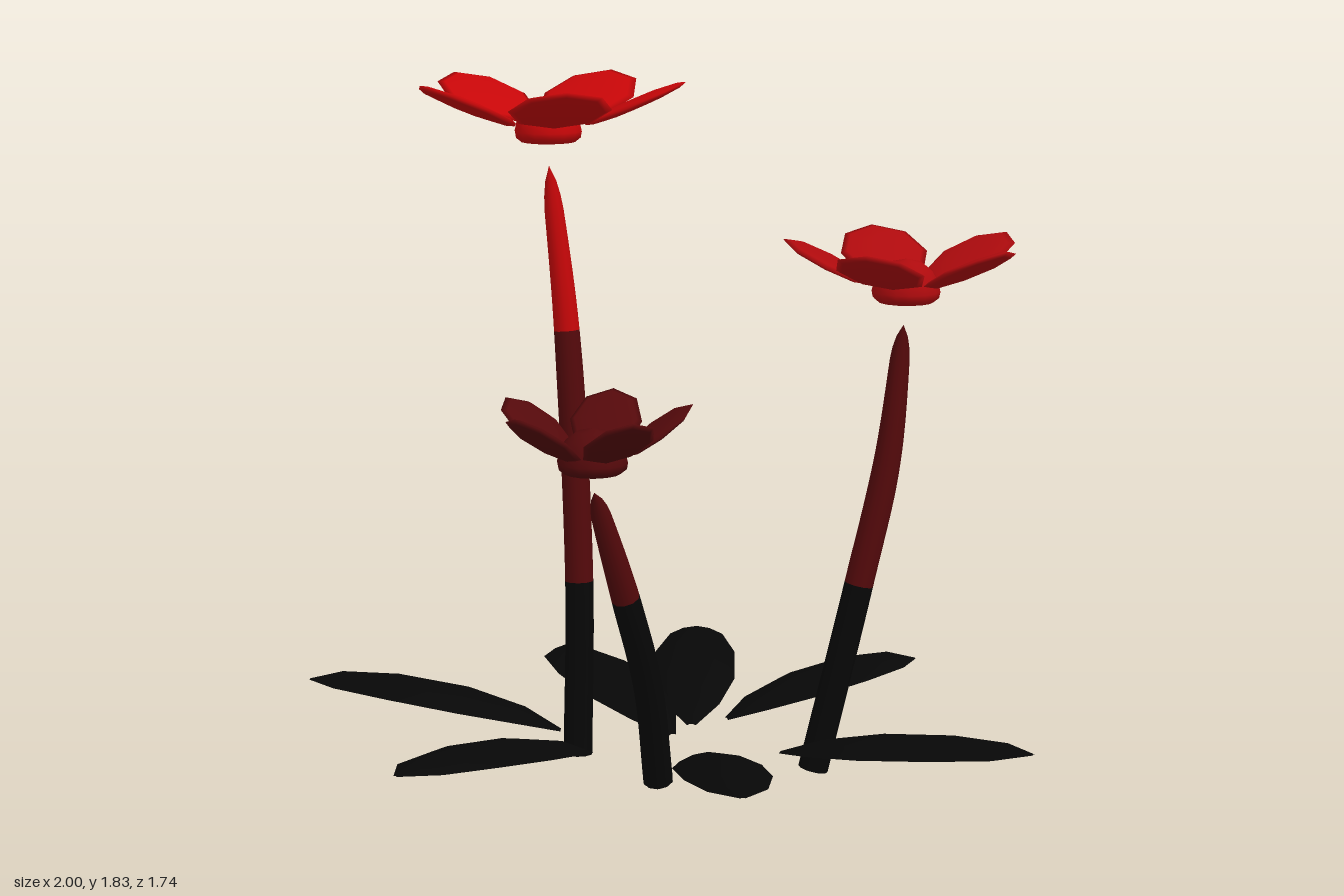
import * as THREE from 'three';

const mat = (name, color, side = THREE.FrontSide) => {
  const m = new THREE.MeshStandardMaterial({ color, side });
  m.name = name;
  return m;
};

// Tapered stem along a smooth path; bands = [end fraction, material] from the base up
function makeStem(name, points, bands, baseMaterial) {
  const rows = 40, sides = 10, radius = 0.04;
  const curve = new THREE.CatmullRomCurve3(points.map(p => new THREE.Vector3(...p)));
  const geo = new THREE.TubeGeometry(curve, rows, radius, sides, false);
  const pos = geo.attributes.position, v = new THREE.Vector3();
  for (let i = 0; i < pos.count; i++) {
    const u = Math.floor(i / (sides + 1)) / rows;
    const centre = curve.getPointAt(u);
    // Slow narrowing, then a rounded tip
    const narrow = u < 0.6 ? 1 - 0.1 * u : 0.94 - 0.4 * Math.pow((u - 0.6) / 0.4, 1.5);
    const taper = narrow * Math.sqrt(Math.min(1, (1 - u) / 0.06));
    v.fromBufferAttribute(pos, i).sub(centre).multiplyScalar(taper).add(centre);
    pos.setXYZ(i, v.x, v.y, v.z);
  }
  // Colour bands follow whole rows of the tube
  let start = 0;
  bands.forEach(([end], k) => {
    const stop = Math.round(end * rows);
    geo.addGroup(start * sides * 6, (stop - start) * sides * 6, k);
    start = stop;
  });
  const group = new THREE.Group();
  group.name = name;
  const tube = new THREE.Mesh(geo, bands.map(b => b[1]));
  tube.name = name + 'Tube';
  const cap = new THREE.Mesh(new THREE.CircleGeometry(radius, sides), baseMaterial);
  cap.name = name + 'Base';
  cap.position.copy(curve.getPointAt(0));
  cap.lookAt(cap.position.clone().sub(curve.getTangentAt(0)));
  group.add(tube, cap);
  return group;
}

// Five tilted oval petals around a domed centre
function makeFlower(name, position, start, distance, size, tilt, material) {
  const flower = new THREE.Group();
  flower.name = name;
  flower.position.set(...position);
  const profile = [[0, 0], [0.072, 0], [0.087, 0.012], [0.09, 0.028], [0.084, 0.055], [0.068, 0.083], [0.04, 0.105], [0, 0.114]];
  const centre = new THREE.Mesh(
    new THREE.LatheGeometry(profile.map(p => new THREE.Vector2(...p)), 14), material);
  centre.name = 'flowerCentre';
  flower.add(centre);
  const petalGeo = new THREE.SphereGeometry(1, 8, 6);
  for (let k = 0; k < 5; k++) {
    const pivot = new THREE.Group();
    pivot.name = 'petalPivot';
    pivot.rotation.y = -THREE.MathUtils.degToRad(start + 72 * k);
    const petal = new THREE.Mesh(petalGeo, material);
    petal.name = 'petal';
    petal.scale.set(size / Math.cos(tilt) * 1.03, 0.014, size * 1.04);
    petal.position.set(distance, 0.103, 0);
    petal.rotation.z = tilt;
    pivot.add(petal);
    flower.add(pivot);
  }
  return flower;
}

// Arched leaf running from base [x, z] to tip [x, z]
function makeLeaf(base, tip, baseY, peakY, tipY, material) {
  // Sections: fraction of length, half width, rise towards the peak
  const sections = [[0, 0.012, 0], [0.15, 0.075, 0.4], [0.38, 0.115, 0.75],
    [0.66, 0.112, 0.97], [0.88, 0.075, 1], [1, 0.006, (tipY - baseY) / (peakY - baseY)]];
  const dx = tip[0] - base[0], dz = tip[1] - base[1], len = Math.hypot(dx, dz);
  const verts = [], index = [], across = 4;
  sections.forEach(([t, w, rise], r) => {
    const y = baseY + (peakY - baseY) * rise;
    for (let c = 0; c <= across; c++) {
      const s = c / across * 2 - 1;
      verts.push(base[0] + dx * t - dz / len * w * s, y - 0.035 * s * s * w / 0.115, base[1] + dz * t + dx / len * w * s);
      if (r && c) {
        const d = r * (across + 1) + c, b = d - across - 1;
        index.push(b - 1, d - 1, b, b, d - 1, d);
      }
    }
  });
  const geo = new THREE.BufferGeometry();
  geo.setAttribute('position', new THREE.Float32BufferAttribute(verts, 3));
  // Reverse each triangle so the upper side is the front
  geo.setIndex(index.reverse());
  geo.computeVertexNormals();
  const leaf = new THREE.Mesh(geo, material);
  leaf.name = 'leaf';
  return leaf;
}

export function createModel() {
  const black = mat('charcoal', 0x070707, THREE.DoubleSide);
  const bright = mat('brightRed', 0xc60608);
  const medium = mat('mediumRed', 0xae0a0d);
  const dark = mat('darkRed', 0x54090b);
  const model = new THREE.Group();
  model.name = 'flowerPlant';

  // Stems
  model.add(
    makeStem('tallStem', [[-0.31, 0.015, -0.09], [-0.31, 0.5, -0.105], [-0.35, 1.17, -0.125], [-0.4, 1.605, -0.13]],
      [[0.3, black], [0.73, dark], [1, bright]], black),
    makeStem('middleStem', [[0.33, 0.015, -0.185], [0.435, 0.52, -0.24], [0.495, 0.85, -0.285], [0.522, 1.205, -0.325]],
      [[0.42, black], [1, dark]], black),
    makeStem('shortStem', [[-0.018, 0.015, 0.06], [-0.005, 0.3, 0.165], [-0.02, 0.55, 0.275], [-0.06, 0.855, 0.39]],
      [[0.64, black], [1, dark]], black));

  // Flowers
  model.add(
    makeFlower('tallFlower', [-0.405, 1.668, -0.138], -13, 0.232, 0.13, 0.41, bright),
    makeFlower('middleFlower', [0.525, 1.265, -0.332], 20, 0.204, 0.115, 0.46, medium),
    makeFlower('shortFlower', [-0.065, 0.905, 0.388], -28, 0.161, 0.09, 0.62, dark));

  // Ring of leaves: base, tip, then base, peak and tip heights
  [[[-0.05, -0.27], [-0.26, -0.87], 0.075, 0.205, 0.185], [[0.03, -0.33], [0.45, -0.71], 0.085, 0.22, 0.2],
    [[0.3, -0.01], [1, 0.07], 0.11, 0.213, 0.2], [[0.11, 0.07], [0.44, 0.67], 0.09, 0.215, 0.2],
    [[-0.18, 0.14], [-0.39, 0.87], 0.1, 0.236, 0.22], [[-0.33, -0.02], [-1, 0.14], 0.1, 0.234, 0.215],
    [[-0.04, -0.1], [-0.52, -0.41], 0.095, 0.235, 0.175]
  ].forEach(leaf => model.add(makeLeaf(...leaf, black)));
  return model;
}
